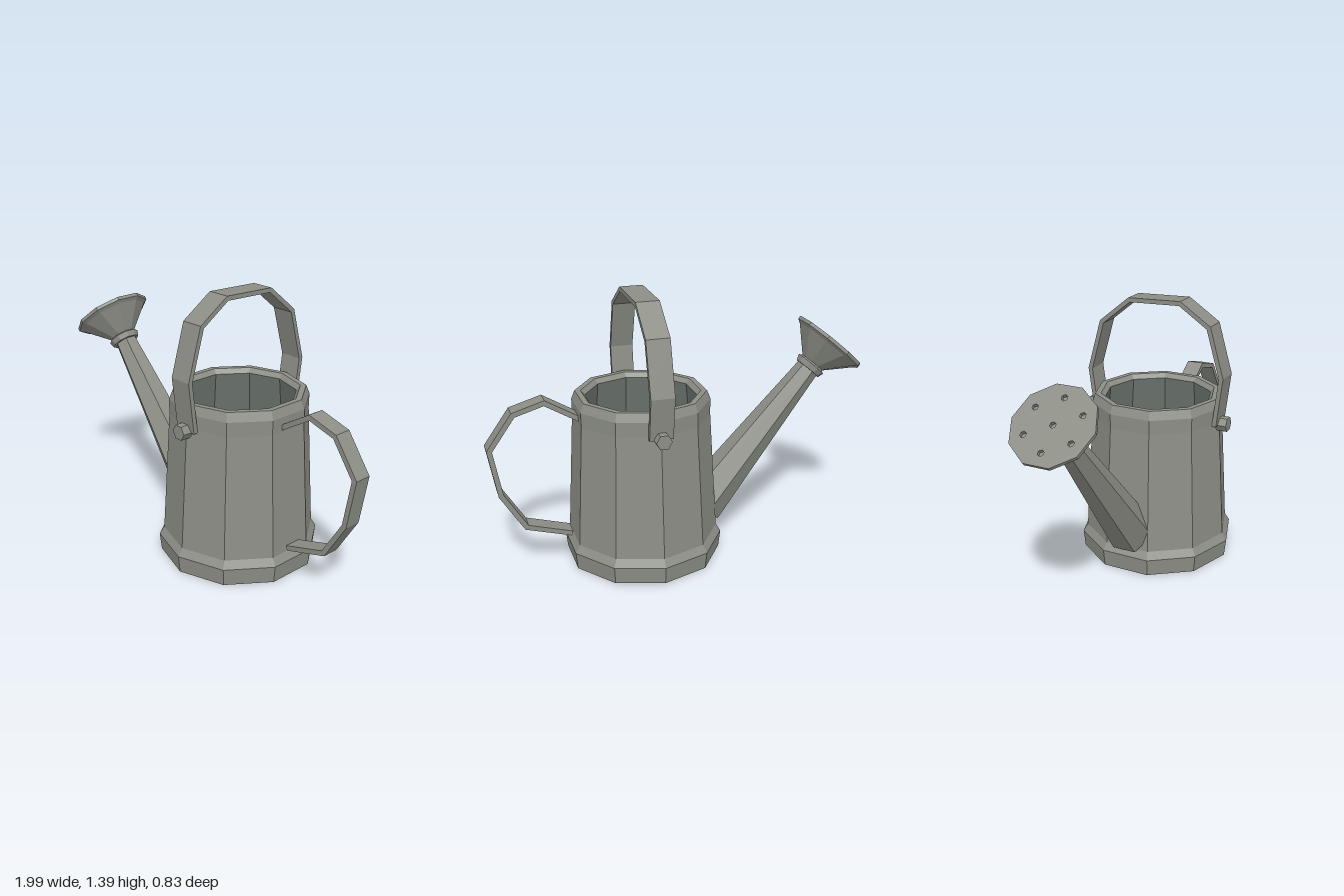
import * as THREE from 'three';

const metal = new THREE.MeshStandardMaterial({ color: 0x8c8e86 });
metal.name = 'grey metal';
const lining = new THREE.MeshStandardMaterial({ color: 0x6a726d });
lining.name = 'dark green grey lining';

// Faceted mesh: unshared vertices give flat face normals
function part(name, geometry, material = metal) {
  const flat = geometry.index ? geometry.toNonIndexed() : geometry;
  flat.computeVertexNormals();
  const mesh = new THREE.Mesh(flat, material);
  mesh.name = name;
  return mesh;
}

const vectors = (points) => points.map(([x, y]) => new THREE.Vector2(x, y));
const lathe = (points) => new THREE.LatheGeometry(vectors(points), 10);

// Flat bent strap: a centre line thickened with mitred corners, then extruded
function strap(points, thickness, width) {
  const p = vectors(points);
  const sides = [[], []];
  p.forEach((v, i) => {
    const before = v.clone().sub(p[Math.max(i - 1, 0)]).normalize();
    const after = p[Math.min(i + 1, p.length - 1)].clone().sub(v).normalize();
    const along = before.clone().add(after).normalize();
    const normal = new THREE.Vector2(-along.y, along.x);
    const edge = i < p.length - 1 ? after : before;
    const reach = thickness / 2 / along.dot(edge);
    sides[0].push(v.clone().addScaledVector(normal, reach));
    sides[1].unshift(v.clone().addScaledVector(normal, -reach));
  });
  const shape = new THREE.Shape([...sides[0], ...sides[1]]);
  return new THREE.ExtrudeGeometry(shape, { depth: width, bevelEnabled: false })
    .translate(0, 0, -width / 2);
}

export function createModel() {
  const model = new THREE.Group();
  model.name = 'wateringCan';

  // Ten-sided can with a foot band and a thick rim
  const can = new THREE.Group();
  can.name = 'can';
  can.position.x = 0.205;
  can.add(part('body', lathe([
    [0, 0], [0.405, 0], [0.415, 0.09], [0.39, 0.13], [0.352, 0.77],
    [0.353, 0.845], [0.335, 0.89], [0.305, 0.89], [0.285, 0.865],
  ])));
  can.add(part('inside', lathe([[0.285, 0.865], [0.36, 0.1], [0, 0.1]]), lining));

  // Carrying handle over the opening
  const bail = strap([
    [0.345, 0.76], [0.376, 1.02], [0.302, 1.275], [0.143, 1.382],
    [-0.141, 1.372], [-0.302, 1.24], [-0.375, 0.975], [-0.345, 0.76],
  ], 0.023, 0.12).rotateY(-Math.PI / 2);
  can.add(part('topHandle', bail));

  // Hexagonal pivots of the carrying handle
  for (const side of [1, -1]) {
    const bolt = part('handleBolt', new THREE.CylinderGeometry(0.04, 0.04, 0.07, 6)
      .rotateY(Math.PI / 6).rotateX(Math.PI / 2));
    bolt.position.set(0, 0.763, side * 0.368);
    can.add(bolt);
  }
  model.add(can);

  // Side handle
  model.add(part('sideHandle', strap([
    [0.53, 0.787], [0.705, 0.893], [0.86, 0.848], [0.985, 0.672],
    [0.943, 0.427], [0.827, 0.235], [0.595, 0.163],
  ], 0.026, 0.09)));

  // Tapered six-sided spout
  const base = new THREE.Vector2(-0.117, 0.2);
  const tip = new THREE.Vector2(-0.735, 0.93);
  const spout = part('spout', new THREE.CylinderGeometry(0.06, 0.125, base.distanceTo(tip), 6));
  spout.position.set((base.x + tip.x) / 2, (base.y + tip.y) / 2, 0);
  spout.rotation.z = Math.atan2(base.x - tip.x, tip.y - base.y);
  model.add(spout);

  // Sprinkler head: collar and flared cone, closed behind the plate
  const head = new THREE.Group();
  head.name = 'sprinklerHead';
  head.position.set(-0.845, 1.052, 0);
  head.rotation.z = 0.725;
  head.add(part('sprinklerCone', lathe([
    [0, -0.19], [0.075, -0.19], [0.085, -0.16], [0.068, -0.15],
    [0.19, -0.03], [0.21, -0.018], [0, -0.018],
  ])));

  // Perforated plate
  const outline = Array.from({ length: 10 }, (_, i) => {
    const a = (i / 10) * Math.PI * 2;
    return [0.21 * Math.sin(a), 0.21 * Math.cos(a)];
  });
  const plate = new THREE.Shape(vectors(outline));
  for (let i = 0; i < 7; i++) {
    const a = (i * Math.PI) / 3;
    const r = i < 6 ? 0.138 : 0;
    const hole = new THREE.Path();
    hole.setFromPoints(vectors(Array.from({ length: 6 }, (_, k) => {
      const b = (k * Math.PI) / 3;
      return [r * Math.cos(a) + 0.016 * Math.cos(b), r * Math.sin(a) + 0.016 * Math.sin(b)];
    })));
    plate.holes.push(hole);
  }
  head.add(part('sprinklerPlate', new THREE.ExtrudeGeometry(plate, { depth: 0.018, bevelEnabled: false })
    .rotateX(-Math.PI / 2).translate(0, -0.018, 0)));
  model.add(head);

  return model;
}
